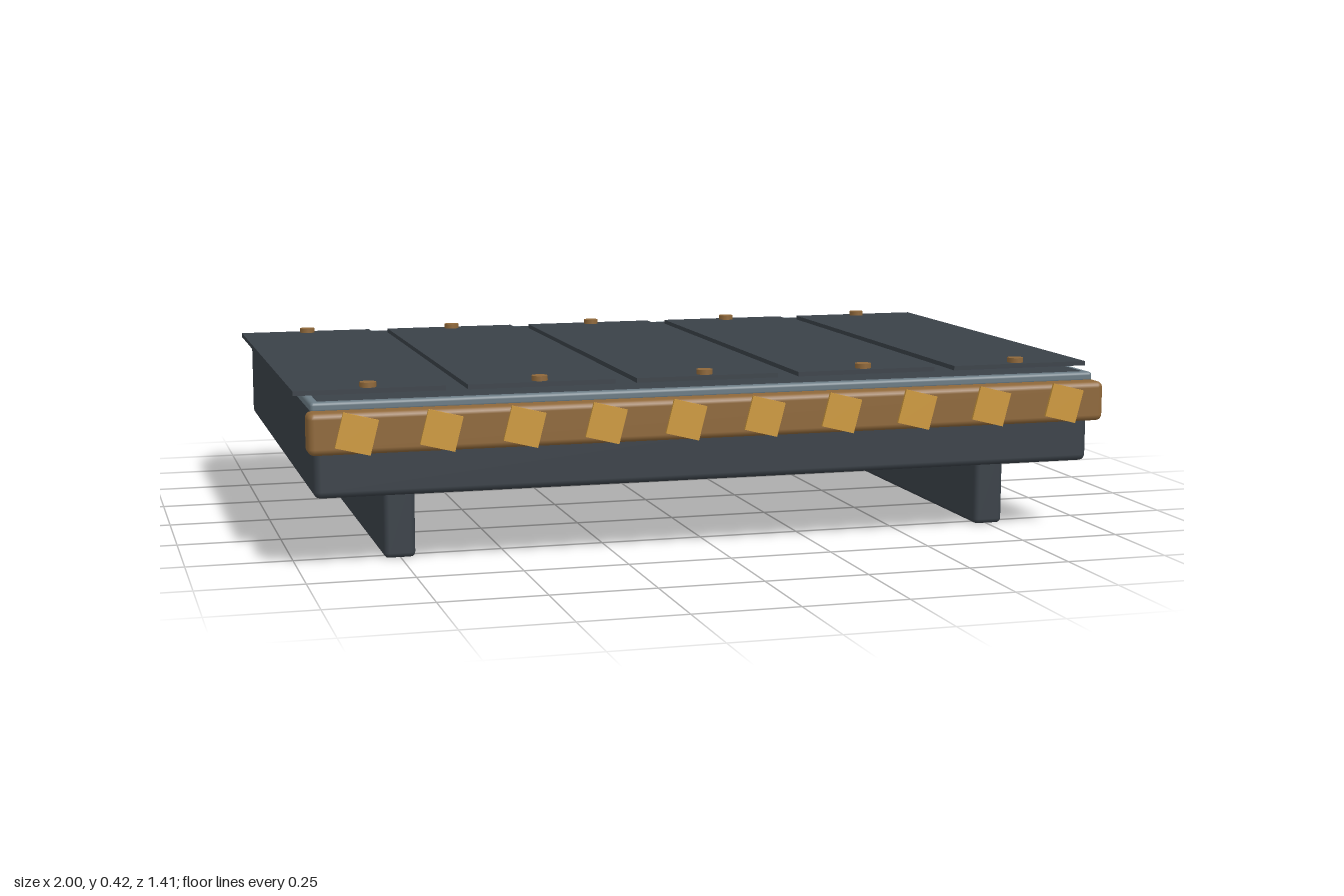
import * as THREE from 'three';
import { RoundedBoxGeometry } from 'three/addons/geometries/RoundedBoxGeometry.js';

const paint = (name, color) => {
  const m = new THREE.MeshStandardMaterial({ color });
  m.name = name;
  return m;
};

export function createModel() {
  const group = new THREE.Group();
  const steel = paint('dark steel', 0x3a4148);
  const trim = paint('grey blue trim', 0x6b7b84);
  const bronze = paint('bronze', 0x8f683a);
  const amber = paint('amber', 0xcf9a3e);

  const add = (name, geometry, material, x, y, z) => {
    const mesh = new THREE.Mesh(geometry, material);
    mesh.name = name;
    mesh.position.set(x, y, z);
    group.add(mesh);
    return mesh;
  };
  // Box with softened edges, given by its extents in y and z
  const block = (name, material, x, width, y0, y1, z0, z1, radius) =>
    add(name, new RoundedBoxGeometry(width, y1 - y0, z1 - z0, 2, radius),
      material, x, (y0 + y1) / 2, (z0 + z1) / 2);

  // Main slab; its rounded top edge leaves the trim showing around it
  block('body', steel, 0, 1.93, 0.175, 0.401, -0.70, 0.65, 0.016);
  block('rim', trim, 0, 1.942, 0.376, 0.4, -0.706, 0.657, 0.008);

  // Runners underneath
  for (const side of [-1, 1]) {
    block(side > 0 ? 'leftRunner' : 'rightRunner', steel, side * 0.752, 0.075, 0.004, 0.2, -0.59, 0.54, 0.012);
  }

  // Deck plates with a bolt at each end
  const plate = new THREE.BoxGeometry(0.357, 0.011, 1.18);
  const bolt = new THREE.CylinderGeometry(0.02, 0.02, 0.016, 12);
  for (let i = -2; i <= 2; i++) {
    const x = i * 0.41;
    add('deckPlate', plate, steel, x, 0.4085, -0.03);
    for (const z of [-0.59, 0.53]) add('bolt', bolt, bronze, x, 0.418, z);
  }

  // Front bumper with slanted hazard marks
  block('bumper', bronze, 0, 1.965, 0.283, 0.381, 0.636, 0.70, 0.015);
  const mark = new THREE.BoxGeometry(0.083, 0.083, 0.007);
  for (let i = 0; i < 10; i++) {
    add('hazardMark', mark, amber, (i - 4.5) * 0.194, 0.332, 0.7035).rotation.z = -0.25;
  }
  return group;
}
